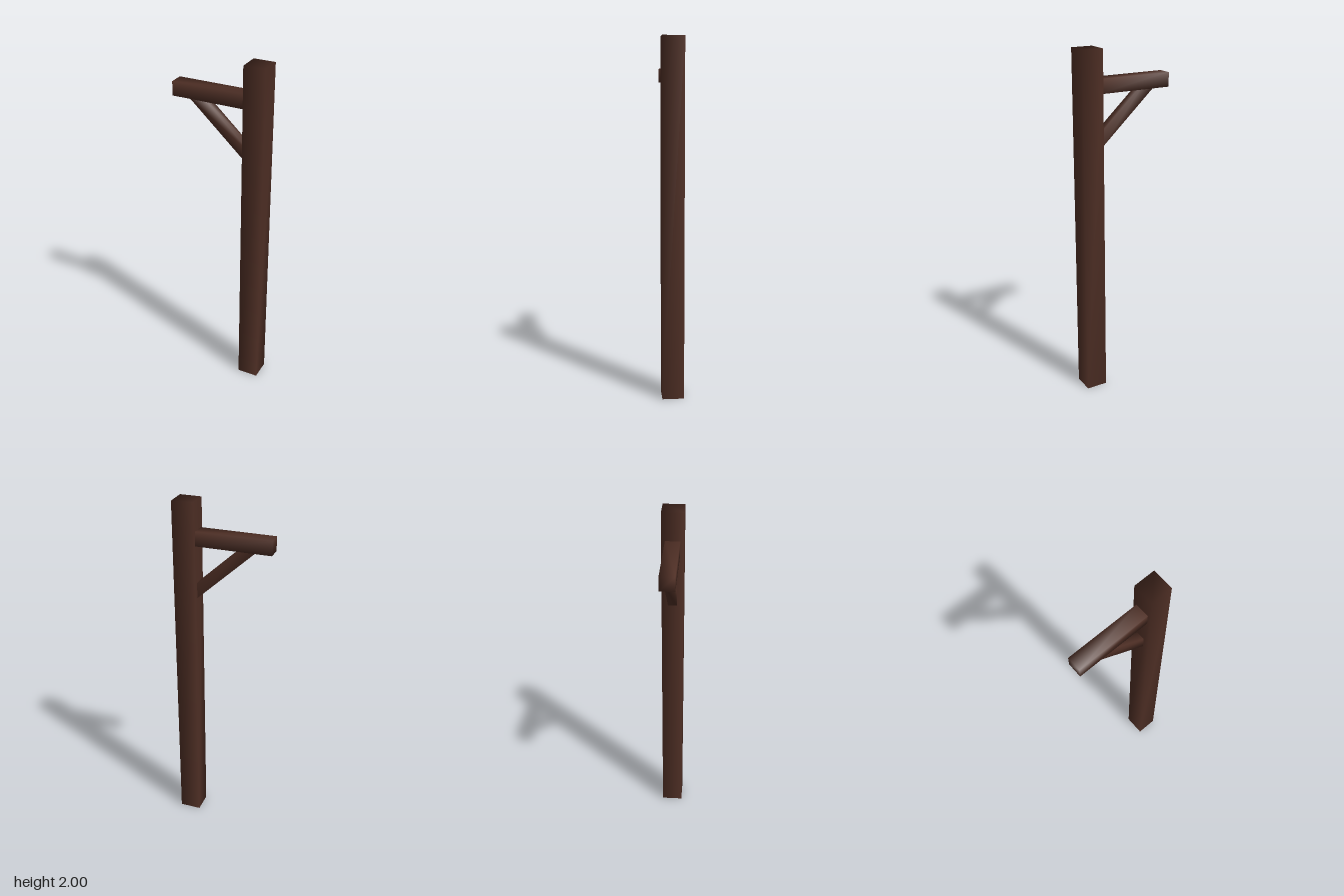
import * as THREE from 'three';
import { mergeVertices } from 'three/addons/utils/BufferGeometryUtils.js';

// Box whose corners share one normal, giving softly shaded timber
function timberGeometry(w, h, d) {
  const box = new THREE.BoxGeometry(w, h, d);
  box.deleteAttribute('normal');
  box.deleteAttribute('uv');
  const geometry = mergeVertices(box);
  geometry.computeVertexNormals();
  return geometry;
}

export function createModel() {
  const model = new THREE.Group();
  model.name = 'timberPost';

  const wood = new THREE.MeshStandardMaterial({ color: 0x4f2f25 });
  wood.name = 'darkWood';

  function addTimber(name, w, h, d, x, y) {
    const mesh = new THREE.Mesh(timberGeometry(w, h, d), wood);
    mesh.name = name;
    mesh.position.set(x, y, 0);
    model.add(mesh);
    return mesh;
  }

  // Upright post
  addTimber('post', 0.122, 2, 0.122, 0.211, 1);

  // Horizontal arm, let slightly into the post
  addTimber('arm', 0.443, 0.08, 0.082, -0.0515, 1.8);

  // Diagonal brace, ends buried in the arm and the post
  const top = new THREE.Vector2(-0.161, 1.786);
  const foot = new THREE.Vector2(0.175, 1.477);
  const run = foot.clone().sub(top);
  const brace = addTimber('brace', run.length(), 0.066, 0.05,
    (top.x + foot.x) / 2, (top.y + foot.y) / 2);
  brace.rotation.z = Math.atan2(run.y, run.x);

  return model;
}
